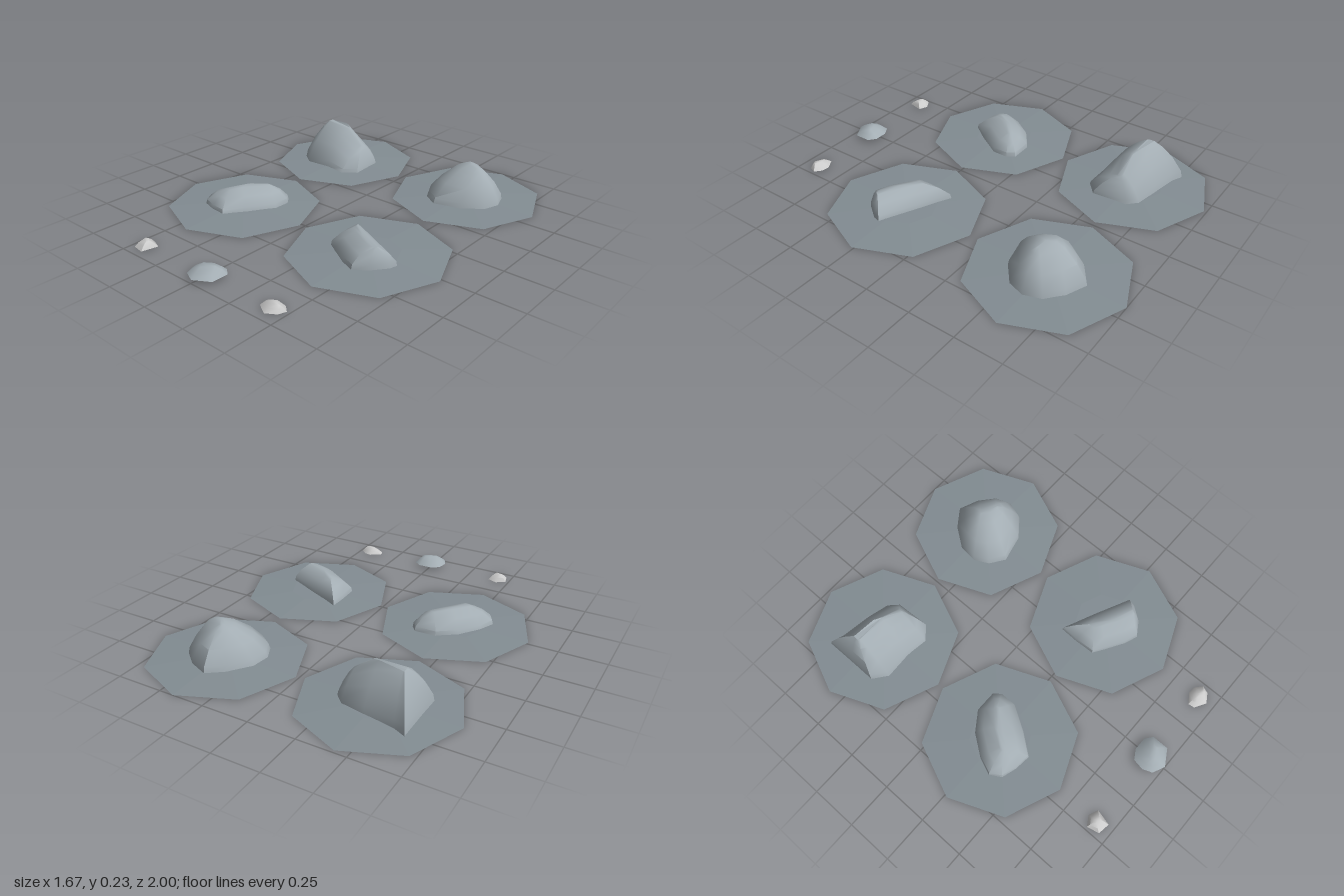
import * as THREE from 'three';
import { toCreasedNormals } from 'three/addons/utils/BufferGeometryUtils.js';

const material = (color) => new THREE.MeshStandardMaterial({ color, roughness: 0.9, side: THREE.DoubleSide });
const groundMat = material(0x838d93);
const rockMat = material(0xa3adb3);
const pebbleMat = material(0xcccccc);

// Point of the ridge line [x, y, z] that lies closest to (x, z) in plan.
function nearestOnRidge(ridge, x, z) {
  let best = ridge[0], bestD = Infinity;
  for (let i = 0; i < ridge.length - 1; i++) {
    const a = ridge[i], b = ridge[i + 1];
    const dx = b[0] - a[0], dz = b[2] - a[2];
    const t = THREE.MathUtils.clamp(((x - a[0]) * dx + (z - a[2]) * dz) / (dx * dx + dz * dz), 0, 1);
    const p = a.map((v, k) => v + (b[k] - v) * t);
    const d = Math.hypot(x - p[0], z - p[2]);
    if (d < bestD) { bestD = d; best = p; }
  }
  return best;
}

// Rock lofted from a plan outline (clockwise from above) up to a ridge line.
// profile: [share of the way inward, share of the height] for each ring.
function rockGeometry(outline, ridge, profile, base) {
  const n = outline.length;
  const positions = [], index = [];
  for (const [inward, up] of profile) {
    for (const [x, z] of outline) {
      const r = nearestOnRidge(ridge, x, z);
      positions.push(x + (r[0] - x) * inward, base + (r[1] - base) * up, z + (r[2] - z) * inward);
    }
  }
  for (let k = 0; k < profile.length - 1; k++) {
    for (let i = 0; i < n; i++) {
      const j = (i + 1) % n, o = k * n, t = o + n;
      index.push(o + i, t + i, o + j, o + j, t + i, t + j);
    }
  }
  // crown and underside
  const mid = ridge[Math.floor(ridge.length / 2)];
  const crown = ridge.length > 2 ? mid : [0, 1, 2].map((k) => (ridge[0][k] + ridge[1][k]) / 2);
  const cx = outline.reduce((s, p) => s + p[0], 0) / n;
  const cz = outline.reduce((s, p) => s + p[1], 0) / n;
  const top = positions.length / 3;
  positions.push(...crown, cx, base, cz);
  const last = (profile.length - 1) * n;
  for (let i = 0; i < n; i++) {
    const j = (i + 1) % n;
    index.push(last + i, top, last + j, i, j, top + 1);
  }
  const geo = new THREE.BufferGeometry();
  geo.setAttribute('position', new THREE.Float32BufferAttribute(positions, 3));
  geo.setIndex(index);
  return toCreasedNormals(geo, 0.8);
}

const steep = [[0, 0], [0.06, 0.2], [0.34, 0.56], [0.66, 0.84], [0.9, 0.98]];
const domed = [[0, 0], [0.05, 0.2], [0.32, 0.56], [0.7, 0.9], [0.93, 1]];
const low = [[0, 0], [0.05, 0.3], [0.4, 0.7], [0.85, 0.98]];
const pebble = [[0, 0], [0.35, 0.55], [0.8, 0.95]];

const rocks = [
  {
    name: 'tallRock', profile: steep, disc: [-0.432, -0.58],
    outline: [[-0.645, -0.765], [-0.58, -0.74], [-0.42, -0.715], [-0.29, -0.69], [-0.24, -0.64], [-0.23, -0.45],
      [-0.3, -0.39], [-0.42, -0.405], [-0.57, -0.4], [-0.645, -0.46], [-0.645, -0.6]],
    ridge: [[-0.555, 0.225, -0.6], [-0.5, 0.26, -0.595], [-0.39, 0.215, -0.58], [-0.29, 0.135, -0.57]],
  },
  {
    name: 'roundRock', profile: domed, disc: [0.423, -0.594],
    outline: [[0.41, -0.795], [0.52, -0.75], [0.6, -0.68], [0.63, -0.59], [0.6, -0.5], [0.5, -0.42],
      [0.35, -0.385], [0.27, -0.44], [0.23, -0.52], [0.24, -0.62], [0.32, -0.73]],
    ridge: [[0.42, 0.192, -0.62], [0.45, 0.198, -0.59], [0.49, 0.19, -0.58]],
  },
  {
    name: 'longRock', profile: low, disc: [-0.432, 0.265],
    outline: [[-0.4, 0.08], [-0.28, 0.08], [-0.25, 0.12], [-0.25, 0.21], [-0.33, 0.34], [-0.41, 0.445],
      [-0.5, 0.435], [-0.58, 0.41], [-0.615, 0.35], [-0.58, 0.26], [-0.5, 0.15]],
    ridge: [[-0.47, 0.1, 0.32], [-0.43, 0.11, 0.25], [-0.35, 0.105, 0.17]],
  },
  {
    name: 'wedgeRock', profile: low, disc: [0.423, 0.265],
    outline: [[0.24, 0.12], [0.42, 0.2], [0.61, 0.29], [0.6, 0.33], [0.54, 0.41], [0.47, 0.455],
      [0.4, 0.43], [0.3, 0.37], [0.24, 0.33], [0.235, 0.22]],
    ridge: [[0.34, 0.105, 0.25], [0.42, 0.112, 0.31], [0.53, 0.11, 0.36]],
  },
];

const pebbles = [
  {
    name: 'leftPebble', base: 0.003, mat: pebbleMat,
    outline: [[-0.485, 0.89], [-0.435, 0.86], [-0.385, 0.88], [-0.405, 0.965], [-0.47, 0.955]],
    ridge: [[-0.44, 0.04, 0.905], [-0.42, 0.038, 0.915]],
  },
  {
    name: 'middlePebble', base: 0.02, mat: rockMat,
    outline: [[-0.07, 0.86], [-0.02, 0.83], [0.05, 0.83], [0.09, 0.86], [0.09, 0.95], [0.005, 1], [-0.06, 0.97], [-0.08, 0.92]],
    ridge: [[-0.005, 0.058, 0.92], [0.035, 0.061, 0.9]],
  },
  {
    name: 'rightPebble', base: 0.003, mat: pebbleMat,
    outline: [[0.355, 0.89], [0.41, 0.855], [0.45, 0.86], [0.485, 0.89], [0.47, 0.93], [0.42, 0.96], [0.36, 0.925]],
    ridge: [[0.42, 0.036, 0.9], [0.45, 0.036, 0.91]],
  },
];

export function createModel() {
  const model = new THREE.Group();
  model.name = 'rockSet';
  const add = (parent, geo, mat, name) => {
    const mesh = new THREE.Mesh(geo, mat);
    mesh.name = name;
    parent.add(mesh);
    return mesh;
  };

  // each large rock sits on its own shallow octagonal ground patch
  for (const { name, outline, ridge, profile, disc } of rocks) {
    const group = new THREE.Group();
    group.name = name + 'Patch';
    const patch = new THREE.CylinderGeometry(0.16, 0.406, 0.011, 8).toNonIndexed();
    patch.computeVertexNormals();
    add(group, patch, groundMat, 'groundPatch').position.set(disc[0], 0.0055, disc[1]);
    add(group, rockGeometry(outline, ridge, profile, 0.002), rockMat, name);
    model.add(group);
  }

  // loose pebbles along the front
  for (const { name, outline, ridge, base, mat } of pebbles) {
    add(model, rockGeometry(outline, ridge, pebble, base), mat, name);
  }
  return model;
}
